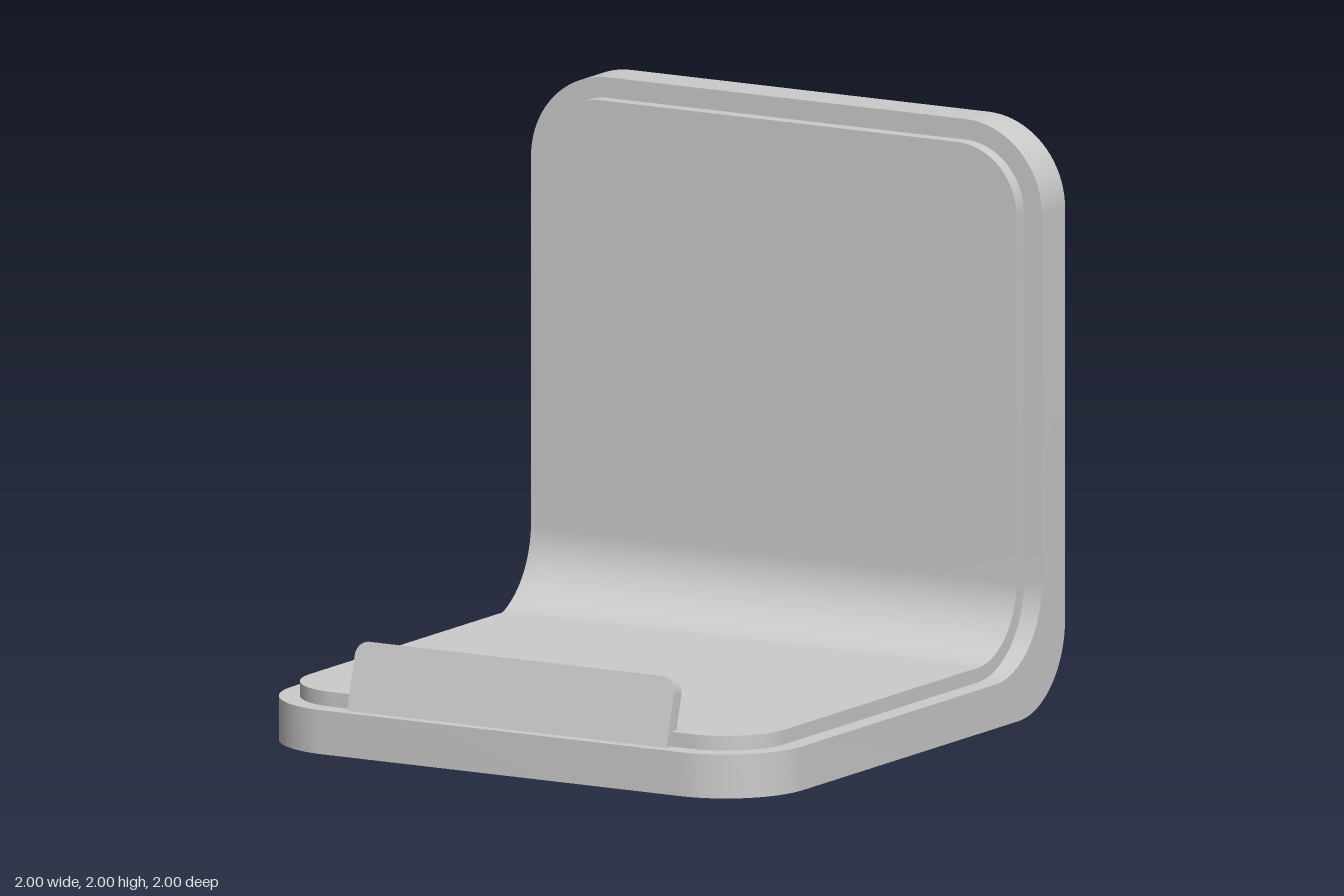
import * as THREE from 'three';
import { toCreasedNormals } from 'three/addons/utils/BufferGeometryUtils.js';

// Slab bent into an L, with rounded front and top corners.
// inner / outer: { y, z, r } centre and radius of the two bend arcs.
function bentSlab({ inner, outer, halfWidth, corner, front, top }) {
  const N = 20, rings = [];
  const arc = (c, b) => [c.y - c.r * Math.cos(b), c.z - c.r * Math.sin(b)];
  const ring = (w, [yi, zi], [yo, zo]) =>
    rings.push([[-w, yi, zi], [w, yi, zi], [w, yo, zo], [-w, yo, zo]]);
  const round = (t) => {
    const a = (t / N) * Math.PI / 2;
    return [corner * (1 - Math.cos(a)), halfWidth - corner + corner * Math.sin(a)];
  };

  // front corners, bend, then top corners
  for (let t = 0; t <= N; t++) {
    const [d, w] = round(t);
    ring(w, [inner.y - inner.r, front - d], [outer.y - outer.r, front - d]);
  }
  for (let t = 0; t <= N; t++) {
    const b = (t / N) * Math.PI / 2;
    ring(halfWidth, arc(inner, b), arc(outer, b));
  }
  for (let t = N; t >= 0; t--) {
    const [d, w] = round(t);
    ring(w, [top - d, inner.z - inner.r], [top - d, outer.z - outer.r]);
  }

  const pos = [];
  const quad = (a, b, c, d) => pos.push(...a, ...b, ...c, ...a, ...c, ...d);
  for (let i = 0; i < rings.length - 1; i++) {
    const p = rings[i], q = rings[i + 1];
    for (let k = 0; k < 4; k++) {
      const n = (k + 1) % 4;
      quad(p[k], p[n], q[n], q[k]);
    }
  }
  const first = rings[0], last = rings[rings.length - 1];
  quad(first[0], first[3], first[2], first[1]);
  quad(...last);

  const g = new THREE.BufferGeometry();
  g.setAttribute('position', new THREE.Float32BufferAttribute(pos, 3));
  return toCreasedNormals(g, 0.6);
}

export function createModel() {
  const model = new THREE.Group();
  const material = new THREE.MeshStandardMaterial({ color: 0xcccccc });
  const add = (name, geometry) => {
    const mesh = new THREE.Mesh(geometry, material);
    mesh.name = name;
    model.add(mesh);
    return mesh;
  };

  // main L-shaped body
  add('standBody', bentSlab({
    inner: { y: 0.45, z: -0.55, r: 0.3 },
    outer: { y: 0.3, z: -0.7, r: 0.3 },
    halfWidth: 1, corner: 0.3, front: 1, top: 2,
  }));

  // raised pad on the inner face, sunk slightly into the body
  add('innerPad', bentSlab({
    inner: { y: 0.45, z: -0.55, r: 0.25 },
    outer: { y: 0.45, z: -0.55, r: 0.32 },
    halfWidth: 0.93, corner: 0.23, front: 0.93, top: 1.93,
  }));

  // leaning front lip with rounded upper corners
  const w = 0.625, h = 0.29, r = 0.05;
  const shape = new THREE.Shape();
  shape.moveTo(-w, 0);
  shape.lineTo(w, 0);
  shape.lineTo(w, h - r);
  shape.absarc(w - r, h - r, r, 0, Math.PI / 2);
  shape.absarc(-w + r, h - r, r, Math.PI / 2, Math.PI);
  shape.closePath();
  const lipGeometry = new THREE.ExtrudeGeometry(shape, {
    depth: 0.05, bevelEnabled: false, curveSegments: 10,
  });
  lipGeometry.translate(0, 0, -0.05);
  const lip = add('frontLip', toCreasedNormals(lipGeometry, 0.6));
  lip.position.set(0, 0.1, 0.975);
  lip.rotation.x = -Math.PI / 12;

  return model;
}
